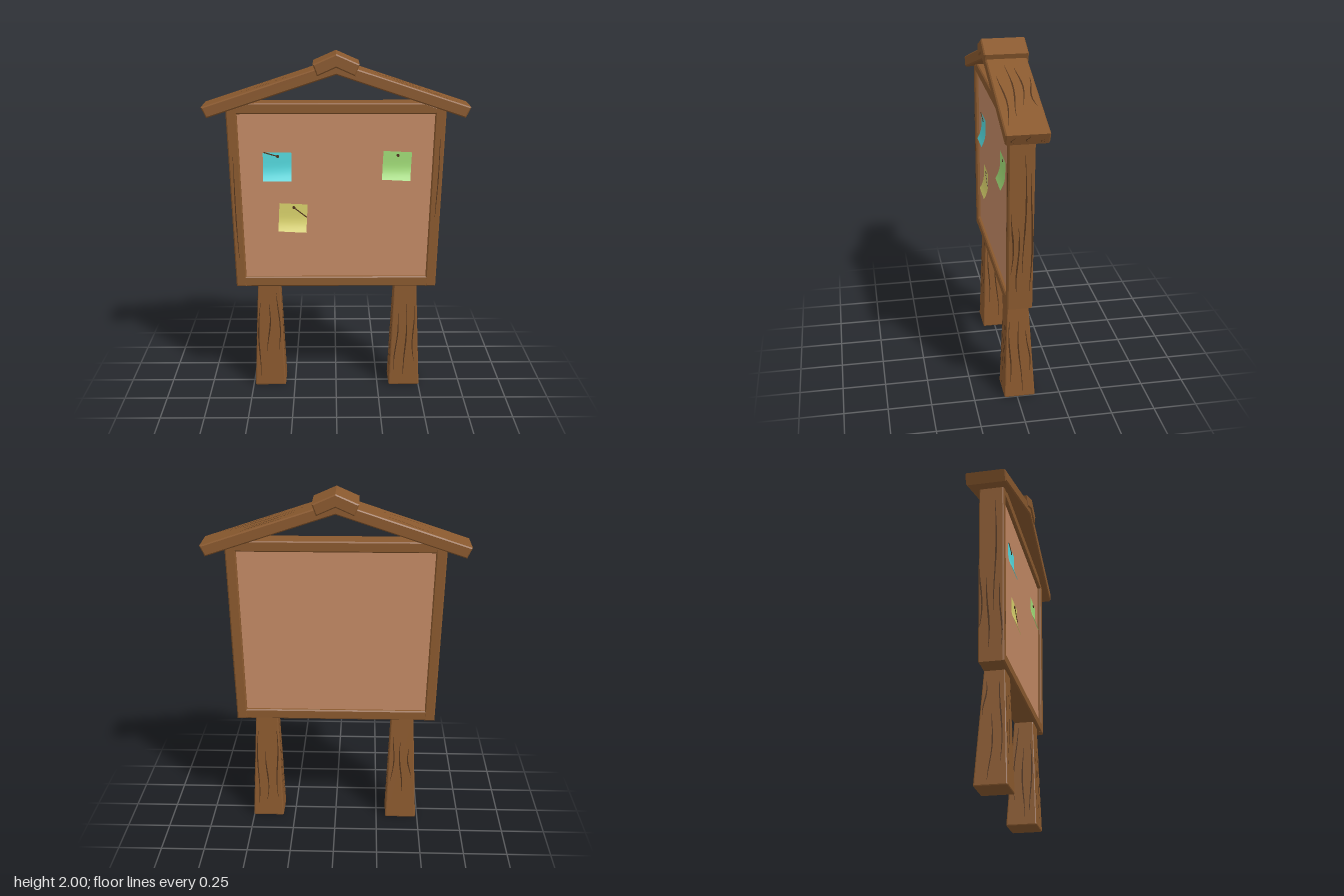
import * as THREE from 'three';
import { RoundedBoxGeometry } from 'three/addons/geometries/RoundedBoxGeometry.js';

const mat = (name, color) => {
  const m = new THREE.MeshStandardMaterial({ color });
  m.name = name;
  return m;
};
const V = (x, y, z) => new THREE.Vector3(x, y, z);
const lerp = THREE.MathUtils.lerp;

export function createModel() {
  const root = new THREE.Group();
  root.name = 'noticeBoard';
  const wood = mat('wood', 0x8a592e);
  const crackMat = mat('darkCrack', 0x50331b);
  const cork = mat('cork', 0xc48a65);
  const paper = {
    blue: mat('bluePaper', 0x55dbe0),
    green: mat('greenPaper', 0xa2de78),
    yellow: mat('yellowPaper', 0xdad36c),
  };
  [crackMat, ...Object.values(paper)].forEach((m) => { m.side = THREE.DoubleSide; });

  let seed = 7;
  const rand = () => (seed = (seed * 16807) % 2147483647) / 2147483647;

  const add = (name, geometry, material, parent = root) => {
    const mesh = new THREE.Mesh(geometry, material);
    mesh.name = name;
    parent.add(mesh);
    return mesh;
  };

  // Bevelled plank: an x/y outline extruded from z0 to z1
  const plank = (name, outline, z0, z1, material = wood, bevel = 0.007) => {
    const shape = new THREE.Shape(outline.map(([x, y]) => new THREE.Vector2(x, y)));
    const geo = new THREE.ExtrudeGeometry(shape, {
      depth: z1 - z0 - 2 * bevel, bevelEnabled: bevel > 0, bevelThickness: bevel,
      bevelSize: bevel, bevelOffset: -bevel, bevelSegments: 1,
    });
    geo.translate(0, 0, z0 + bevel);
    return add(name, geo, material);
  };

  // Tapering, wavy cracks on a four-cornered face, running from its edge ab to its edge dc
  const cracks = (name, [a, b, c, d], count, width = 0.007) => {
    const normal = b.clone().sub(a).cross(d.clone().sub(a)).normalize().multiplyScalar(0.002);
    const across = b.clone().sub(a).normalize();
    const at = (u, v) => a.clone().lerp(b, u).lerp(d.clone().lerp(c, u), v).add(normal);
    const pos = [], index = [], steps = 8;
    for (let i = 0; i < count; i++) {
      const u = (i + 0.35 + 0.3 * rand()) / count;
      const length = 0.3 + 0.5 * rand();
      const start = 0.03 + (0.94 - length) * rand();
      const phase = rand() * 6.3;
      for (let s = 0; s <= steps; s++) {
        const t = s / steps;
        const p = at(u + 0.07 * Math.sin(phase + t * 5) * (1 - 0.4 * t), start + length * t);
        const half = 0.0008 + 0.5 * width * Math.sin(Math.PI * t) * (0.6 + 0.4 * rand());
        for (const side of [-1, 1]) pos.push(...p.clone().addScaledVector(across, side * half).toArray());
        if (s < steps) {
          const k = 2 * (i * (steps + 1) + s);
          index.push(k, k + 1, k + 3, k, k + 3, k + 2);
        }
      }
    }
    const geo = new THREE.BufferGeometry();
    geo.setAttribute('position', new THREE.Float32BufferAttribute(pos, 3));
    geo.setIndex(index);
    geo.computeVertexNormals();
    add(name, geo, crackMat);
  };

  // Legs, flaring towards the ground
  const legTop = 0.66;
  for (const [side, cx] of [['right', -0.397], ['left', 0.411]]) {
    const corner = (sx, sz, t) => V(
      cx + sx * lerp(0.0925, 0.065, t), legTop * t,
      lerp(-0.015, -0.003, t) + sz * lerp(0.09, 0.057, t));
    const geo = new RoundedBoxGeometry(0.16, legTop, 0.16, 1, 0.007);
    const p = geo.attributes.position;
    for (let i = 0; i < p.count; i++) {
      const v = corner(p.getX(i) / 0.08, p.getZ(i) / 0.08, p.getY(i) / legTop + 0.5);
      p.setXYZ(i, v.x, v.y, v.z);
    }
    geo.computeVertexNormals();
    add(side + 'Leg', geo, wood);
    const ring = [[-1, 1], [1, 1], [1, -1], [-1, -1]];
    ring.forEach((m, i) => {
      const n = ring[(i + 1) % 4];
      cracks(side + 'LegCracks', [corner(...m, 0), corner(...n, 0), corner(...n, 0.95), corner(...m, 0.95)], 3);
    });
  }

  // Frame: two leaning posts and two cross beams
  const zBack = -0.065, zFront = 0.075;
  for (const s of [1, -1]) {
    const side = s > 0 ? 'left' : 'right';
    plank(side + 'Post', [[0.527, 0.635], [0.587, 0.635], [0.623, 1.69], [0.562, 1.71]].map(([x, y]) => [s * x, y]), zBack, zFront);
    const z = s * zFront, w = s * zBack;
    const [z1, z2] = s > 0 ? [z, w] : [-w, -z];
    const low = (q) => V(s * 0.587, 0.65, q), high = (q) => V(s * 0.621, 1.65, q);
    cracks(side + 'PostCracks', s > 0
      ? [low(z1), low(z2), high(z2), high(z1)]
      : [low(zBack), low(zFront), high(zFront), high(zBack)], 4, 0.009);
    const edge = s > 0 ? [0.535, 0.58, 0.612, 0.568] : [-0.58, -0.535, -0.568, -0.612];
    cracks(side + 'PostFrontCracks', [V(edge[0], 0.7, zFront), V(edge[1], 0.7, zFront),
      V(edge[2], 1.6, zFront), V(edge[3], 1.6, zFront)], 1, 0.005);
  }
  plank('bottomBeam', [[-0.56, 0.636], [0.56, 0.636], [0.56, 0.695], [-0.56, 0.695]], zBack + 0.001, zFront - 0.001);
  plank('topBeam', [[-0.58, 1.66], [0.58, 1.66], [0.58, 1.695], [0.5, 1.722], [-0.5, 1.722], [-0.58, 1.695]], zBack + 0.001, zFront - 0.001);

  // Cork panel, recessed on both sides
  plank('corkPanel', [[-0.54, 0.68], [0.54, 0.68], [0.575, 1.675], [-0.575, 1.675]], -0.045, 0.055, cork, 0);

  // Roof and its ridge cap
  plank('roof', [[-0.755, 1.705], [-0.726, 1.645], [0, 1.885], [0.726, 1.645], [0.755, 1.705], [0, 1.955]], -0.114, 0.114);
  plank('ridgeCap', [[-0.13, 1.943], [-0.106, 1.878], [0, 1.925], [0.106, 1.878], [0.13, 1.943], [0, 2]], -0.123, 0.123);
  cracks('leftRoofCracks', [V(0.74, 1.71, 0.105), V(0.74, 1.71, -0.105), V(0.14, 1.9087, -0.105), V(0.14, 1.9087, 0.105)], 4, 0.008);
  cracks('rightRoofCracks', [V(-0.74, 1.71, -0.105), V(-0.74, 1.71, 0.105), V(-0.14, 1.9087, 0.105), V(-0.14, 1.9087, -0.105)], 2, 0.004);
  cracks('leftEaveCracks', [V(0.728, 1.65, 0.1), V(0.728, 1.65, -0.1), V(0.753, 1.7, -0.1), V(0.753, 1.7, 0.1)], 3, 0.005);

  // Curled paper notes, each with a pin and its scratch
  const note = (name, material, x, y, angle, scratch) => {
    const group = new THREE.Group();
    group.name = name;
    group.position.set(x, y, 0.058);
    group.rotation.z = angle;
    root.add(group);
    const size = 0.163;
    const geo = new THREE.PlaneGeometry(size, size, 1, 6);
    const p = geo.attributes.position;
    for (let i = 0; i < p.count; i++) {
      const t = Math.max(0, 0.55 - (p.getY(i) / size + 0.5));
      p.setZ(i, 0.002 + 0.085 * t * t);
    }
    geo.computeVertexNormals();
    add('paper', geo, material, group);
    const head = add('pinHead', new THREE.CylinderGeometry(0.009, 0.009, 0.004, 10), crackMat, group);
    head.rotation.x = Math.PI / 2;
    head.position.set(0.003, 0.06, 0.004);
    if (scratch) {
      const [dx, dy] = scratch;
      const line = add('pinScratch', new THREE.BoxGeometry(Math.hypot(dx, dy), 0.006, 0.003), crackMat, group);
      line.position.set(0.003 + dx / 2, 0.06 + dy / 2, 0.005);
      line.rotation.z = Math.atan2(dy, dx);
    }
  };
  note('blueNote', paper.blue, -0.336, 1.357, 0.01, [-0.08, 0.024]);
  note('greenNote', paper.green, 0.348, 1.362, -0.05, null);
  note('yellowNote', paper.yellow, -0.25, 1.055, -0.05, [0.078, -0.055]);

  return root;
}
